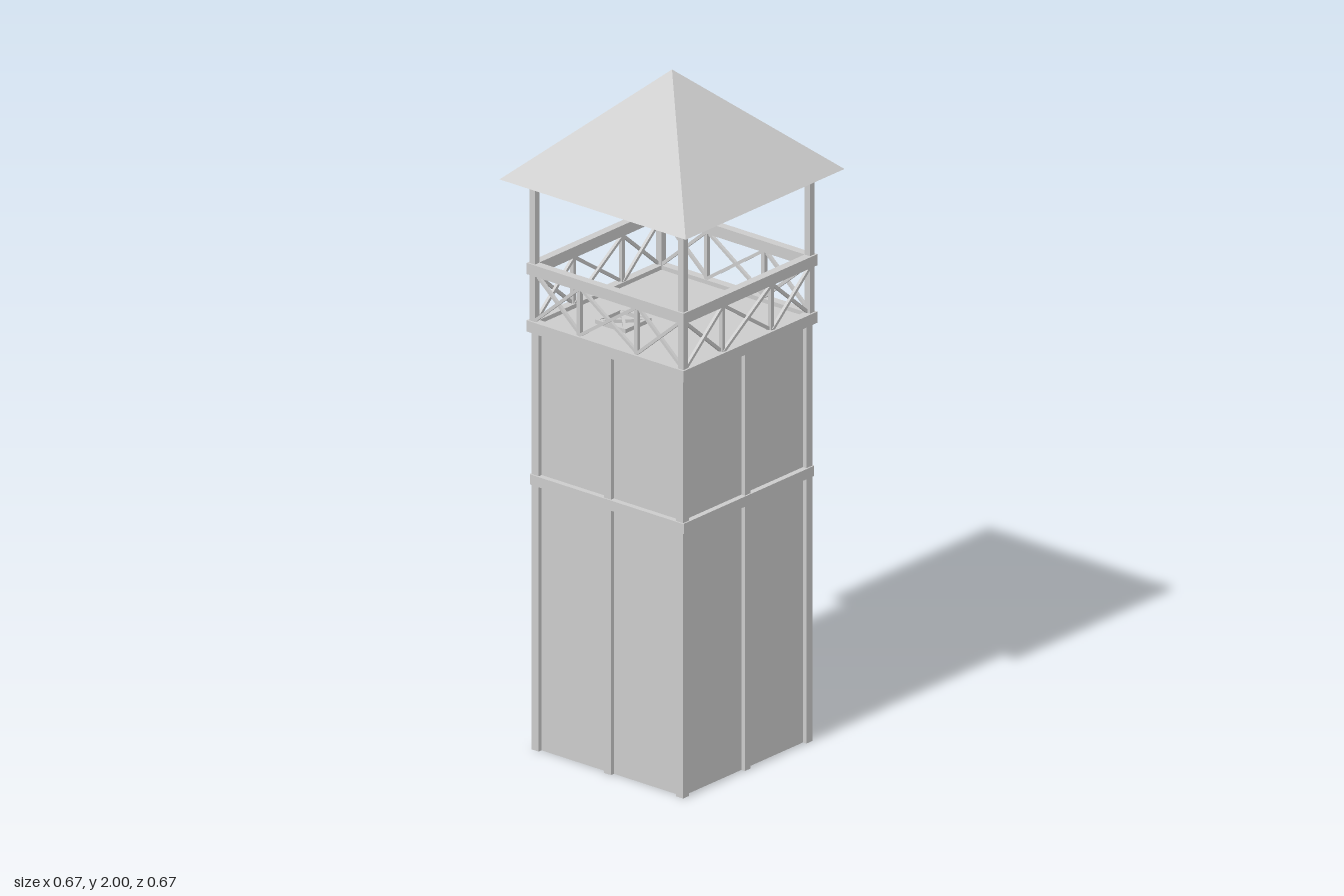
import * as THREE from 'three';

const material = new THREE.MeshStandardMaterial({ color: 0xcccccc, flatShading: true, side: THREE.DoubleSide });

function add(parent, name, geometry, x = 0, y = 0, z = 0) {
  const mesh = new THREE.Mesh(geometry, material);
  mesh.name = name;
  mesh.position.set(x, y, z);
  parent.add(mesh);
  return mesh;
}

const box = (parent, name, w, h, d, x, y, z) => add(parent, name, new THREE.BoxGeometry(w, h, d), x, y, z);

// Square bar between two points lying in a plane of constant z
function brace(parent, x1, y1, x2, y2, z, t) {
  const bar = box(parent, 'brace', Math.hypot(x2 - x1, y2 - y1), t, t, (x1 + x2) / 2, (y1 + y2) / 2, z);
  bar.rotation.z = Math.atan2(y2 - y1, x2 - x1);
}

// One side of the tower, built facing +z
function createSide() {
  const side = new THREE.Group();
  side.name = 'towerSide';

  // Shaft wall and its timber frame
  add(side, 'wall', new THREE.PlaneGeometry(0.52, 1.24), 0, 0.62, 0.26);
  box(side, 'middlePost', 0.025, 1.24, 0.025, 0, 0.62, 0.26);
  box(side, 'middleBeam', 0.55, 0.03, 0.03, 0, 0.8, 0.262);

  // Platform edge, handrail and roof beam
  box(side, 'platformBeam', 0.564, 0.033, 0.025, 0, 1.254, 0.27);
  box(side, 'handrail', 0.564, 0.033, 0.025, 0, 1.424, 0.27);
  box(side, 'roofBeam', 0.564, 0.018, 0.025, 0, 1.683, 0.27);

  // Railing posts and crossed braces
  for (const x of [-0.103, 0.103]) box(side, 'railingPost', 0.012, 0.14, 0.012, x, 1.339, 0.268);
  for (const [a, b] of [[-0.263, -0.103], [-0.103, 0.103], [0.103, 0.263]]) {
    brace(side, a, 1.27, b, 1.408, 0.272, 0.009);
    brace(side, a, 1.408, b, 1.27, 0.264, 0.009);
  }
  return side;
}

export function createModel() {
  const tower = new THREE.Group();
  tower.name = 'watchtower';

  for (let i = 0; i < 4; i++) {
    const side = createSide();
    side.rotation.y = i * Math.PI / 2;
    tower.add(side);
  }

  // Corner posts of the shaft and of the lookout
  for (const sx of [-1, 1]) for (const sz of [-1, 1]) {
    box(tower, 'cornerPost', 0.025, 1.24, 0.025, sx * 0.26, 0.62, sz * 0.26);
    box(tower, 'lookoutPost', 0.02, 0.44, 0.02, sx * 0.267, 1.465, sz * 0.267);
  }

  // Platform floor
  box(tower, 'floor', 0.53, 0.018, 0.53, 0, 1.249, 0);

  // Trapdoor with a raised frame and crossed battens
  const hatch = new THREE.Group();
  hatch.name = 'trapdoor';
  hatch.position.set(-0.1, 1.264, -0.09);
  for (const s of [-1, 1]) {
    box(hatch, 'hatchFrame', 0.11, 0.012, 0.01, 0, 0, s * 0.05);
    box(hatch, 'hatchFrame', 0.01, 0.012, 0.09, s * 0.05, 0, 0);
    box(hatch, 'hatchBatten', 0.13, 0.01, 0.009, 0, 0, 0).rotation.y = s * Math.PI / 4;
  }
  tower.add(hatch);

  // Pyramid roof
  const roof = new THREE.ConeGeometry(0.335 * Math.SQRT2, 0.31, 4);
  roof.rotateY(Math.PI / 4);
  add(tower, 'roof', roof, 0, 1.845, 0);

  return tower;
}
